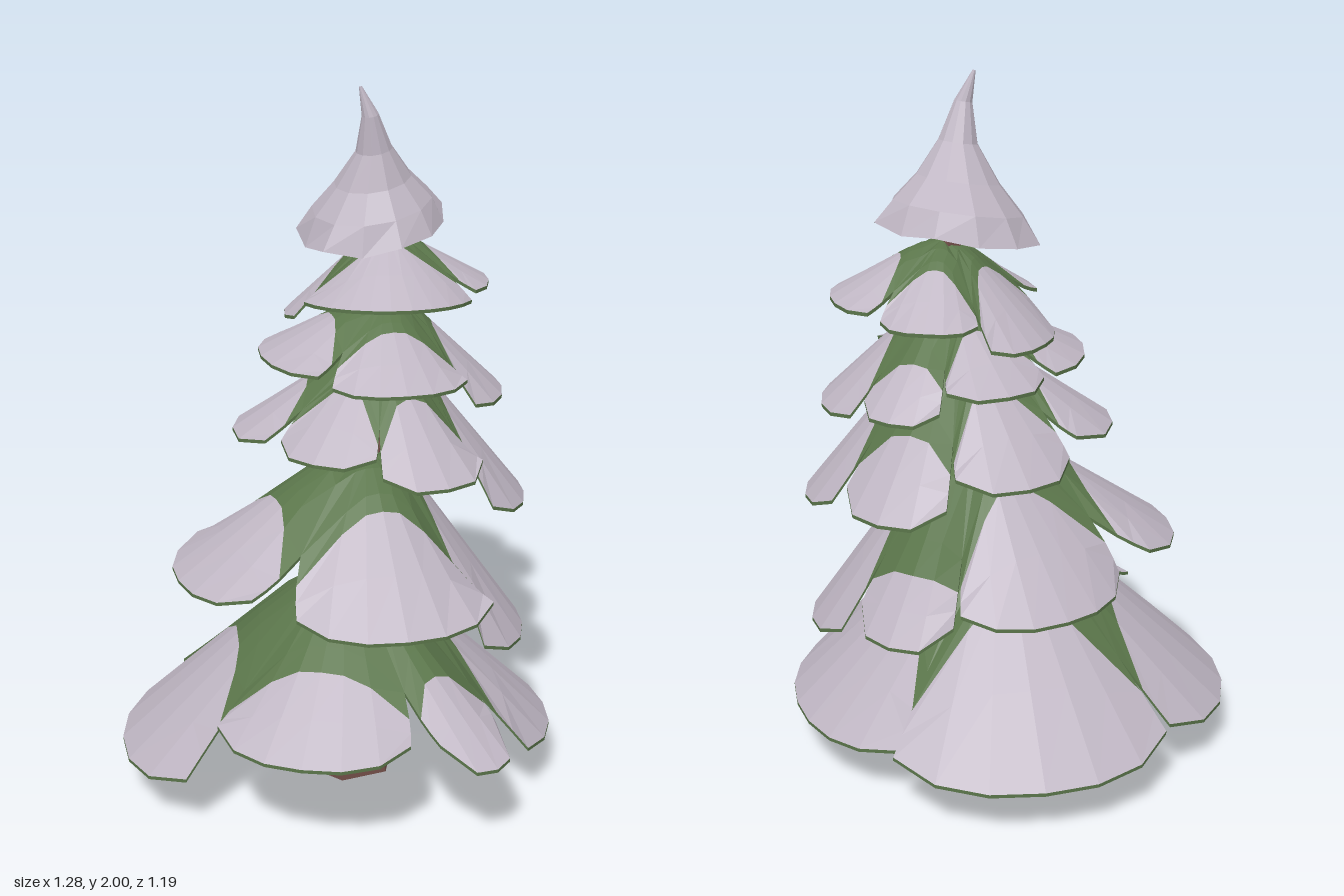
import * as THREE from 'three';

const snow = new THREE.MeshStandardMaterial({ color: 0xbfb6c3, flatShading: true });
snow.name = 'snow';
const needles = new THREE.MeshStandardMaterial({ color: 0x5a754a, flatShading: true });
needles.name = 'needles';
const bark = new THREE.MeshStandardMaterial({ color: 0x74504a, flatShading: true });
bark.name = 'bark';

const RAD = Math.PI / 180;
const JOIN = 0.64; // neighbouring boughs are joined up to this part of their length
const { lerp, clamp } = THREE.MathUtils;

// Height lost along a bough, from the trunk (t = 0) to its tip (t = 1)
function drop(t) {
  if (t < 0.25) return 0.4 * t;
  if (t < 0.5) return 0.1 + (t - 0.25) * 1.2;
  return 0.4 + (t - 0.5) * 1.2;
}

function meshFrom(positions, material, name) {
  const geometry = new THREE.BufferGeometry();
  geometry.setAttribute('position', new THREE.Float32BufferAttribute(positions, 3));
  geometry.computeVertexNormals();
  const mesh = new THREE.Mesh(geometry, material);
  mesh.name = name;
  return mesh;
}

// One drooping bough: green near the trunk, snow on the outer part, green below
function createBough([cx, top, cz], bough, before, after) {
  const [a0, a1, radius, tipY, snowStart] = bough;
  const span = a1 - a0;
  const n = Math.max(4, 2 * Math.round(span / 24));
  const corner = 0.2 - 0.0014 * span; // narrow boughs have rounder corners
  const gapBefore = (a0 - before[1] + 720) % 360, gapAfter = (after[0] - a1 + 720) % 360;
  const last = 5;
  const upper = [], lower = [];
  for (let i = 0; i <= n; i++) {
    const u = (i / n) * 2 - 1;
    const q = Math.pow(Math.abs(u), 3);
    const side = u < 0 ? before : after;
    const gap = u < 0 ? -gapBefore : gapAfter;
    const edge = lerp(snowStart, 0.8, q);
    const rings = [0, lerp(snowStart * 0.45, 0.3, q), lerp(snowStart * 0.8, JOIN, q), edge, (edge + 1) / 2, 1];
    upper.push([]);
    lower.push([]);
    for (const ring of rings) {
      // Blend into the neighbour on the inner part of each side
      const f = q * clamp((1 - ring) / (1 - JOIN), 0, 1);
      const t = ring * (1 - corner * q * (1 - f));
      const r = t * lerp(radius, (radius + side[2]) / 2, f);
      const tip = lerp(tipY, (tipY + side[3]) / 2, f);
      const angle = (lerp(a0, a1, i / n) + f * gap / 2) * RAD;
      const p = new THREE.Vector3(
        cx + Math.cos(angle) * r,
        top + (tip - top) * drop(t) - 0.02 * u * u * t,
        cz + Math.sin(angle) * r);
      upper[i].push(p);
      lower[i].push(p.clone().setY(p.y - 0.01));
    }
  }

  const white = [], green = [];
  const quad = (out, a, b, c, d) => {
    for (const [p, q, r] of [[a, b, c], [a, c, d]]) {
      if (p.distanceTo(q) < 1e-6 || q.distanceTo(r) < 1e-6 || r.distanceTo(p) < 1e-6) continue;
      out.push(...p.toArray(), ...q.toArray(), ...r.toArray());
    }
  };
  for (let i = 0; i < n; i++) {
    for (let j = 0; j < last; j++) {
      quad(j < 3 ? green : white, upper[i][j], upper[i + 1][j], upper[i + 1][j + 1], upper[i][j + 1]);
      quad(green, lower[i][j], lower[i][j + 1], lower[i + 1][j + 1], lower[i + 1][j]);
    }
  }
  // Thin edge strip around the free outline
  const outline = [];
  for (let j = 2; j < last; j++) outline.push([0, j]);
  for (let i = 0; i < n; i++) outline.push([i, last]);
  for (let j = last; j >= 2; j--) outline.push([n, j]);
  for (let k = 0; k + 1 < outline.length; k++) {
    const [i, j] = outline[k], [s, t] = outline[k + 1];
    quad(green, upper[i][j], upper[s][t], lower[s][t], lower[i][j]);
  }

  const group = new THREE.Group();
  group.name = 'bough';
  group.add(meshFrom(green, needles, 'boughNeedles'), meshFrom(white, snow, 'boughSnow'));
  return group;
}

// Faceted tube through rings [x, y, z, radius], listed from top to bottom
function createStack(rings, sides, open, shape) {
  const n = rings.length - 1;
  const geometry = new THREE.CylinderGeometry(1, 1, 1, sides, n, open);
  const pos = geometry.attributes.position;
  for (let i = 0; i < pos.count; i++) {
    const k = Math.round((0.5 - pos.getY(i)) * n);
    const [x, y, z, r] = rings[k];
    const [px, py, pz] = shape(pos.getX(i) * r, pos.getZ(i) * r, k);
    pos.setXYZ(i, x + px, y + py, z + pz);
  }
  geometry.computeVertexNormals();
  return geometry;
}

// Tiers: centre [x, top, z]; boughs [from angle, to angle, radius, tip height, snow start]
// Angles run from +x towards +z; boughs are listed by falling angle
const tiers = [
  { centre: [0.03, 0.65, 0.03], boughs: [
    [101, 172, 0.66, 0.14, 0.48], [32, 97, 0.57, 0.31, 0.58], [2, 24, 0.65, 0.28, 0.6],
    [-104, -16, 0.61, 0.15, 0.36], [-184, -106, 0.67, 0.15, 0.36]] },
  { centre: [0, 0.98, -0.1], boughs: [
    [91, 152, 0.57, 0.65, 0.48], [4, 76, 0.53, 0.61, 0.42], [-74, -1, 0.47, 0.42, 0.32],
    [-126, -78, 0.43, 0.49, 0.72], [-202, -130, 0.48, 0.59, 0.4]] },
  { centre: [0, 1.27, -0.16], boughs: [
    [113, 166, 0.42, 1.03, 0.48], [54, 110, 0.37, 1.03, 0.45], [0, 51, 0.42, 0.98, 0.45],
    [-72, -5, 0.43, 0.82, 0.4], [-130, -76, 0.4, 0.86, 0.6], [-190, -134, 0.41, 0.97, 0.42]] },
  { centre: [-0.03, 1.4, -0.22], boughs: [
    [86, 168, 0.36, 1.25, 0.42], [3, 80, 0.34, 1.21, 0.45], [-80, -3, 0.35, 1.12, 0.4],
    [-130, -84, 0.33, 1.15, 0.6], [-188, -134, 0.35, 1.23, 0.42]] },
  { centre: [-0.05, 1.57, -0.26], boughs: [
    [130, 198, 0.3, 1.33, 0.38], [-14, 114, 0.27, 1.42, 0.2],
    [-90, -18, 0.3, 1.43, 0.38], [-156, -95, 0.28, 1.4, 0.42]] },
];

export function createModel() {
  const tree = new THREE.Group();
  tree.name = 'snowyFir';

  // Bent six-sided trunk with corners to the left and right
  const trunk = new THREE.Mesh(createStack([
    [-0.08, 1.66, -0.24, 0.028], [-0.04, 1.42, -0.25, 0.036], [-0.02, 1.0, -0.14, 0.048],
    [-0.01, 0.65, 0.01, 0.072], [0, 0.33, 0.045, 0.102], [0.005, 0, -0.015, 0.14],
  ], 6, false, (x, z) => [z, 0, -x]), bark);
  trunk.name = 'trunk';
  tree.add(trunk);

  // Tiers of boughs
  tiers.forEach(({ centre, boughs }, i) => {
    const tier = new THREE.Group();
    tier.name = `tier${i + 1}`;
    const count = boughs.length;
    boughs.forEach((bough, k) => tier.add(
      createBough(centre, bough, boughs[(k + 1) % count], boughs[(k + count - 1) % count])));
    tree.add(tier);
  });

  // Curled snow cap, tilted to the front, with a wavy rim
  const wave = (x, z, k) => {
    const rim = k === 5 ? 0.05 * Math.sin(Math.atan2(z, x) * 5) : 0;
    return [x * (1 + rim), -0.2 * z + rim * 0.2, z * (1 + rim)];
  };
  const cap = new THREE.Mesh(createStack([
    [-0.075, 2.0, -0.17, 0.004], [-0.055, 1.92, -0.19, 0.024], [-0.06, 1.82, -0.215, 0.052],
    [-0.08, 1.73, -0.235, 0.11], [-0.09, 1.66, -0.245, 0.172], [-0.095, 1.59, -0.25, 0.212],
  ], 12, true, wave), snow);
  cap.name = 'snowCap';
  // Needles under the cap
  const under = new THREE.Mesh(createStack([
    [-0.095, 1.589, -0.25, 0.212], [-0.09, 1.63, -0.245, 0.13], [-0.08, 1.67, -0.24, 0.002],
  ], 12, true, (x, z, k) => wave(x, z, k === 0 ? 5 : 0)), needles);
  under.name = 'capUnderside';
  tree.add(cap, under);

  return tree;
}
